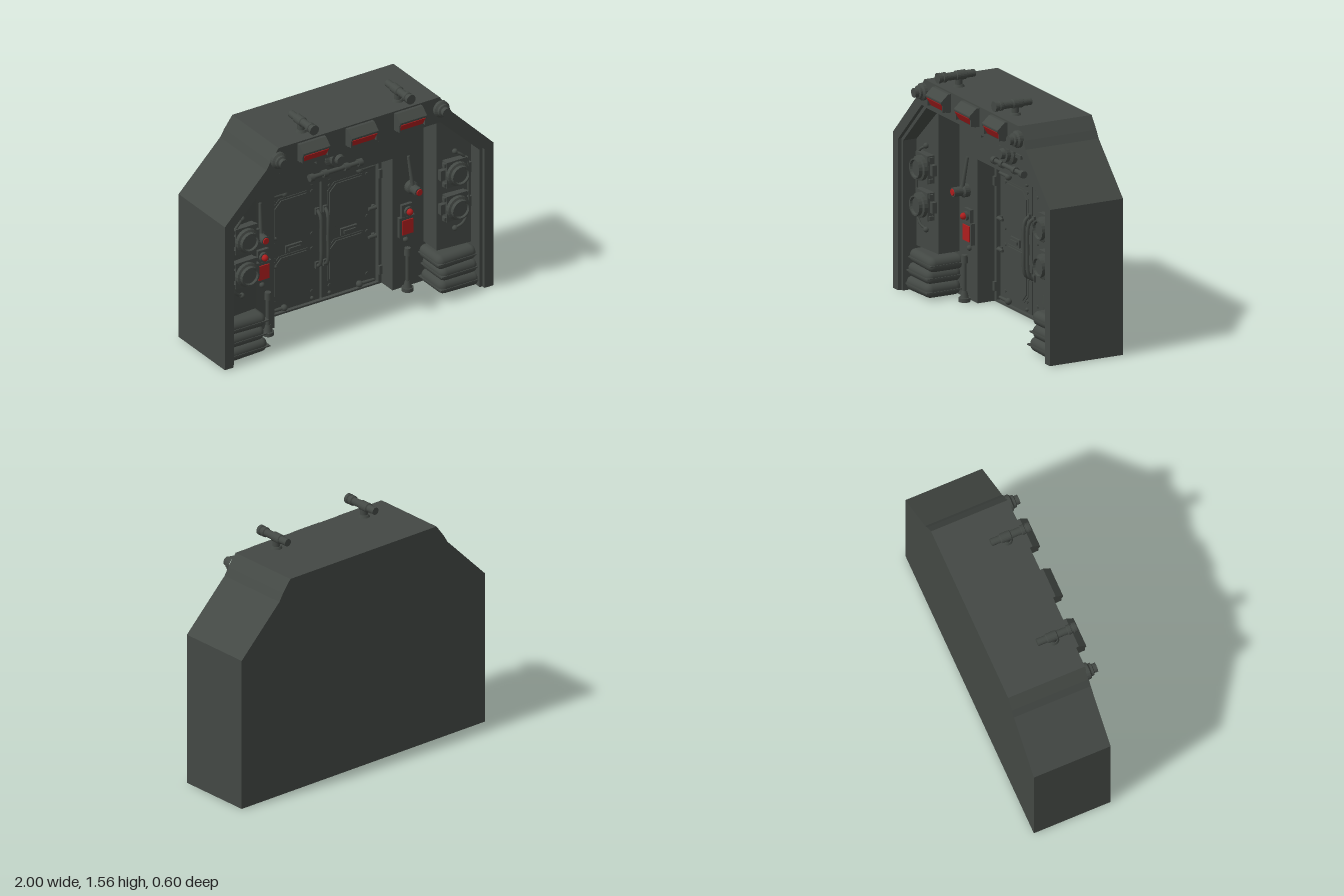
import * as THREE from 'three';
import { RoundedBoxGeometry } from 'three/addons/geometries/RoundedBoxGeometry.js';

export function createModel() {
  const model = new THREE.Group();
  model.name = 'armouredDoorway';
  const metal = new THREE.MeshStandardMaterial({ color: 0x434844 });
  metal.name = 'darkMetal';
  const red = new THREE.MeshStandardMaterial({ color: 0xae1e1e });
  red.name = 'warningRed';

  const add = (name, geo, x = 0, y = 0, z = 0, mat = metal) => {
    const m = new THREE.Mesh(geo, mat);
    m.name = name;
    m.position.set(x, y, z);
    model.add(m);
    return m;
  };
  const box = (name, w, h, d, x, y, z, mat) => add(name, new THREE.BoxGeometry(w, h, d), x, y, z, mat);
  const ball = (name, r, x, y, z, mat) => add(name, new THREE.SphereGeometry(r, 14, 10), x, y, z, mat);
  // Straight rod between two points
  const rod = (name, a, b, r, r2 = r) => {
    const p = new THREE.Vector3(...a), q = new THREE.Vector3(...b);
    const mid = p.clone().add(q).multiplyScalar(0.5);
    const m = add(name, new THREE.CylinderGeometry(r2, r, p.distanceTo(q), 14), mid.x, mid.y, mid.z);
    m.quaternion.setFromUnitVectors(new THREE.Vector3(0, 1, 0), q.sub(p).normalize());
    return m;
  };
  // Turned part whose axis points along +z; profile is [radius, z]
  const turned = (name, profile, x, y, z, mat) => {
    const geo = new THREE.LatheGeometry(profile.map(p => new THREE.Vector2(...p)), 20);
    geo.rotateX(Math.PI / 2);
    const m = add(name, geo.toNonIndexed(), x, y, z, mat);
    m.geometry.computeVertexNormals();
    return m;
  };
  // Flat outline extruded from z0 to z1
  const slab = (name, pts, z0, z1) => {
    const shape = new THREE.Shape(pts.map(p => new THREE.Vector2(...p)));
    return add(name, new THREE.ExtrudeGeometry(shape, { depth: z1 - z0, bevelEnabled: false }), 0, 0, z0);
  };
  const mirrored = half => [...half, ...half.map(([x, y]) => [-x, y]).reverse()];
  const tube = (name, pts, r) => add(name, new THREE.TubeGeometry(
    new THREE.CatmullRomCurve3(pts.map(p => new THREE.Vector3(...p))), 32, r, 8));

  // Outer shell, stepped rim and inner wall
  const outer = mirrored([[1, 0], [1, 1.01], [0.69, 1.32], [0.66, 1.37], [0.6, 1.45]]);
  const arch = (half, hole, name, z0, z1) => slab(name, [...mirrored(half), ...mirrored(hole).reverse()], z0, z1);
  const outerHalf = outer.slice(0, 5);
  slab('backPlate', outer, -0.3, -0.24);
  arch(outerHalf, [[0.935, 0], [0.935, 0.98], [0.635, 1.275]], 'outerFrame', -0.25, 0.22);
  arch([[0.95, 0], [0.95, 0.99], [0.64, 1.28]], [[0.915, 0], [0.915, 0.97], [0.62, 1.255]], 'innerRim', -0.25, 0.195);
  arch([[0.95, 0], [0.95, 0.99], [0.64, 1.28]], [[0.44, 0], [0.44, 0.93]], 'innerWall', -0.25, -0.07);
  box('wallTopTrim', 1.26, 0.02, 0.02, 0, 1.235, -0.065);

  // Door surround and plate over the door
  arch([[0.445, 0], [0.445, 0.935]], [[0.415, 0], [0.415, 0.88]], 'doorSurround', -0.25, -0.19);
  box('doorNamePlate', 0.22, 0.025, 0.02, 0, 0.908, -0.185);
  box('doorSill', 0.86, 0.012, 0.04, 0, 0.006, -0.21);

  // Valve wheel and its pipe cage above the door
  turned('valveHub', [[0.075, 0], [0.075, 0.03], [0.055, 0.04], [0.055, 0.065], [0.035, 0.065], [0.03, 0.09], [0, 0.09]], 0, 1.09, -0.07);
  for (const y of [0.995, 1.185]) {
    rod('cagePipe', [-0.18, y, -0.045], [0.18, y, -0.045], 0.015);
    for (const x of [-0.18, -0.08, 0.08, 0.18]) rod('cageCollar', [x - 0.016, y, -0.045], [x + 0.016, y, -0.045], 0.024);
  }
  box('valveBracket', 0.28, 0.025, 0.02, 0, 1.09, -0.06);

  // Hooded warning lights on the header
  for (const x of [-0.36, 0, 0.36]) {
    const hood = new THREE.Shape([[0.21, 1.44], [0.24, 1.44], [0.29, 1.395], [0.29, 1.385], [0.25, 1.32], [0.21, 1.32]]
      .map(([z, y]) => new THREE.Vector2(-z, y)));
    const geo = new THREE.ExtrudeGeometry(hood, { depth: 0.2, bevelEnabled: false });
    geo.rotateY(Math.PI / 2);
    add('lightHood', geo, x - 0.1, 0, 0);
    const lens = box('lightLens', 0.18, 0.064, 0.006, x, 1.353, 0.271, red);
    lens.rotation.x = Math.atan2(0.04, 0.065);
    for (const s of [-1, 1]) box('hoodCheek', 0.01, 0.07, 0.05, x + s * 0.095, 1.36, 0.255);
  }

  for (const s of [-1, 1]) {
    // Round lamps on the shoulders
    turned('shoulderLamp', [[0.055, 0], [0.055, 0.025], [0.042, 0.035], [0.042, 0.05], [0.03, 0.055], [0.03, 0.08], [0, 0.08]], s * 0.605, 1.37, 0.215);

    // Scopes on the roof
    const x = s * 0.36;
    rod('scopeFoot', [x, 1.445, 0.11], [x, 1.465, 0.11], 0.04, 0.03);
    rod('scopeStem', [x, 1.46, 0.11], [x, 1.52, 0.11], 0.024);
    turned('scopeBarrel', [[0, 0], [0.024, 0], [0.024, 0.06], [0.031, 0.065], [0.031, 0.13], [0.025, 0.135], [0.025, 0.2],
      [0.032, 0.205], [0.032, 0.225], [0.027, 0.228], [0.027, 0.238], [0.033, 0.242], [0.033, 0.262], [0, 0.262]], x, 1.522, 0);

    // Raised side panel, slanting towards the middle of the recess
    const panel = slab('sidePanel', [[0.67, 0.28], [0.925, 0.28], [0.925, 0.965], [0.67, 1.215]].map(([a, b]) => [s * a, b]), -0.1, 0.1);
    const pos = panel.geometry.attributes.position;
    for (let i = 0; i < pos.count; i++)
      if (pos.getZ(i) > 0.1 && Math.abs(pos.getX(i)) < 0.7) pos.setZ(i, 0.18);
    panel.geometry.computeVertexNormals();

    // Ventilation drums with a conduit
    for (const y of [0.82, 0.58]) {
      box('drumMount', 0.15, 0.18, 0.05, s * 0.785, y, 0.11);
      box('drumBracket', 0.23, 0.07, 0.03, s * 0.79, y, 0.105);
      for (const dy of [-0.07, 0.07]) box('drumLug', 0.18, 0.025, 0.03, s * 0.785, y + dy, 0.115);
      turned('ventDrum', [[0.08, 0], [0.08, 0.03], [0.065, 0.035], [0.065, 0.06], [0.055, 0.06], [0.05, 0.045], [0, 0.045]], s * 0.785, y, 0.13);
    }
    tube('conduit', [[0.795, 0.95, 0.1], [0.83, 0.93, 0.115], [0.875, 0.87, 0.115], [0.885, 0.7, 0.115],
      [0.875, 0.5, 0.115], [0.84, 0.44, 0.115], [0.795, 0.415, 0.1]].map(([a, b, c]) => [s * a, b, c]), 0.009);
    for (const y of [0.955, 0.412]) ball('conduitEnd', 0.018, s * 0.793, y, 0.1);

    // Stacked sandbags
    [[0.3, 0.045, 0.79], [0.28, 0.13, 0.795], [0.295, 0.215, 0.785]].forEach(([w, y, bx], i) => {
      const bag = add('sandbag', new RoundedBoxGeometry(w, 0.094, 0.25, 3, 0.042), s * bx, y + 0.003, 0.05 - i * 0.01);
      bag.rotation.z = s * (i - 1) * 0.03;
      box('sandbagSeam', w + 0.01, 0.008, 0.25, s * bx, y, 0.055 - i * 0.01);
    });

    // Junction box high on the wall
    box('junctionBox', 0.135, 0.06, 0.06, s * 0.37, 1.145, -0.045);
    box('junctionMount', 0.08, 0.03, 0.04, s * 0.37, 1.185, -0.055);

    // Wall lever with a red tip
    rod('leverArm', [s * 0.552, 0.92, -0.06], [s * 0.565, 0.72, -0.03], 0.01, 0.014);
    turned('leverKnob', [[0.042, 0], [0.042, 0.04], [0.03, 0.05], [0.03, 0.11], [0, 0.11]], s * 0.57, 0.7, -0.075);
    turned('leverTip', [[0.023, 0], [0.02, 0.006], [0, 0.006]], s * 0.572, 0.7, 0.035, red);

    // Control box with a red screen and button
    box('controlBase', 0.115, 0.14, 0.03, s * 0.535, 0.435, -0.06);
    box('controlHead', 0.08, 0.09, 0.025, s * 0.535, 0.545, -0.06);
    box('controlScreen', 0.08, 0.1, 0.008, s * 0.535, 0.435, -0.042, red);
    turned('buttonCollar', [[0.03, 0], [0.03, 0.02], [0, 0.02]], s * 0.54, 0.545, -0.05);
    ball('controlButton', 0.022, s * 0.54, 0.545, -0.025, red);

    // Floor post
    const px = s * 0.52;
    rod('postFoot', [px, 0, -0.02], [px, 0.025, -0.02], 0.038);
    rod('postCone', [px, 0.025, -0.02], [px, 0.07, -0.02], 0.028, 0.016);
    rod('postShaft', [px, 0.06, -0.02], [px, 0.27, -0.02], 0.014);
    rod('postCap', [px, 0.25, -0.02], [px, 0.3, -0.02], 0.023, 0.02);
    ball('wallStud', 0.018, s * 0.535, 0.335, -0.065);

    // Door leaf with raised panels
    box('doorLeaf', 0.405, 0.865, 0.03, s * 0.2095, 0.4375, -0.23);
    for (const y of [0.235, 0.64]) {
      const oct = (w, h, c) => [[w, c - h], [w, h - c], [w - c, h], [c - w, h], [-w, h - c], [-w, c - h], [c - w, -h], [w - c, -h]]
        .map(([a, b]) => [a + s * 0.205, b + y]);
      slab('doorPanelEdge', oct(0.155, 0.165, 0.05), -0.22, -0.21);
      slab('doorPanel', oct(0.143, 0.153, 0.048), -0.215, -0.203);
      for (const dx of [-0.14, 0.14]) for (const dy of [-0.15, 0.15])
        turned('panelBolt', [[0.011, 0], [0.011, 0.008], [0, 0.008]], s * 0.205 + dx, y + dy, -0.216);
    }
    box('latchPlate', 0.12, 0.05, 0.02, s * 0.205, 0.437, -0.21);
    box('latchBar', 0.085, 0.02, 0.012, s * 0.205, 0.437, -0.196);

    // Long pull handles, side grips and bolts
    tube('pullHandle', [[0.03, 0.25, -0.21], [0.027, 0.28, -0.175], [0.024, 0.45, -0.165], [0.027, 0.62, -0.175], [0.03, 0.65, -0.21]]
      .map(([a, b, c]) => [s * a, b, c]), 0.012);
    for (const y of [0.26, 0.64]) box('handleFoot', 0.026, 0.045, 0.02, s * 0.03, y, -0.21);
    for (const y of [0.545, 0.345]) {
      rod('sideGrip', [s * 0.345, y, -0.195], [s * 0.4, y, -0.195], 0.01, 0.014);
      box('gripFoot', 0.02, 0.03, 0.03, s * 0.385, y, -0.21);
    }
    for (const y of [0.84, 0.035]) {
      rod('slideBolt', [s * 0.3, y, -0.2], [s * 0.39, y, -0.2], 0.012, 0.009);
      ball('boltKnob', 0.022, s * 0.28, y, -0.2);
      ball('doorRivet', 0.012, s * 0.065, y, -0.213);
    }
    for (const y of [0.1, 0.78]) box('hinge', 0.025, 0.06, 0.02, s * 0.425, y, -0.185);
  }
  return model;
}
